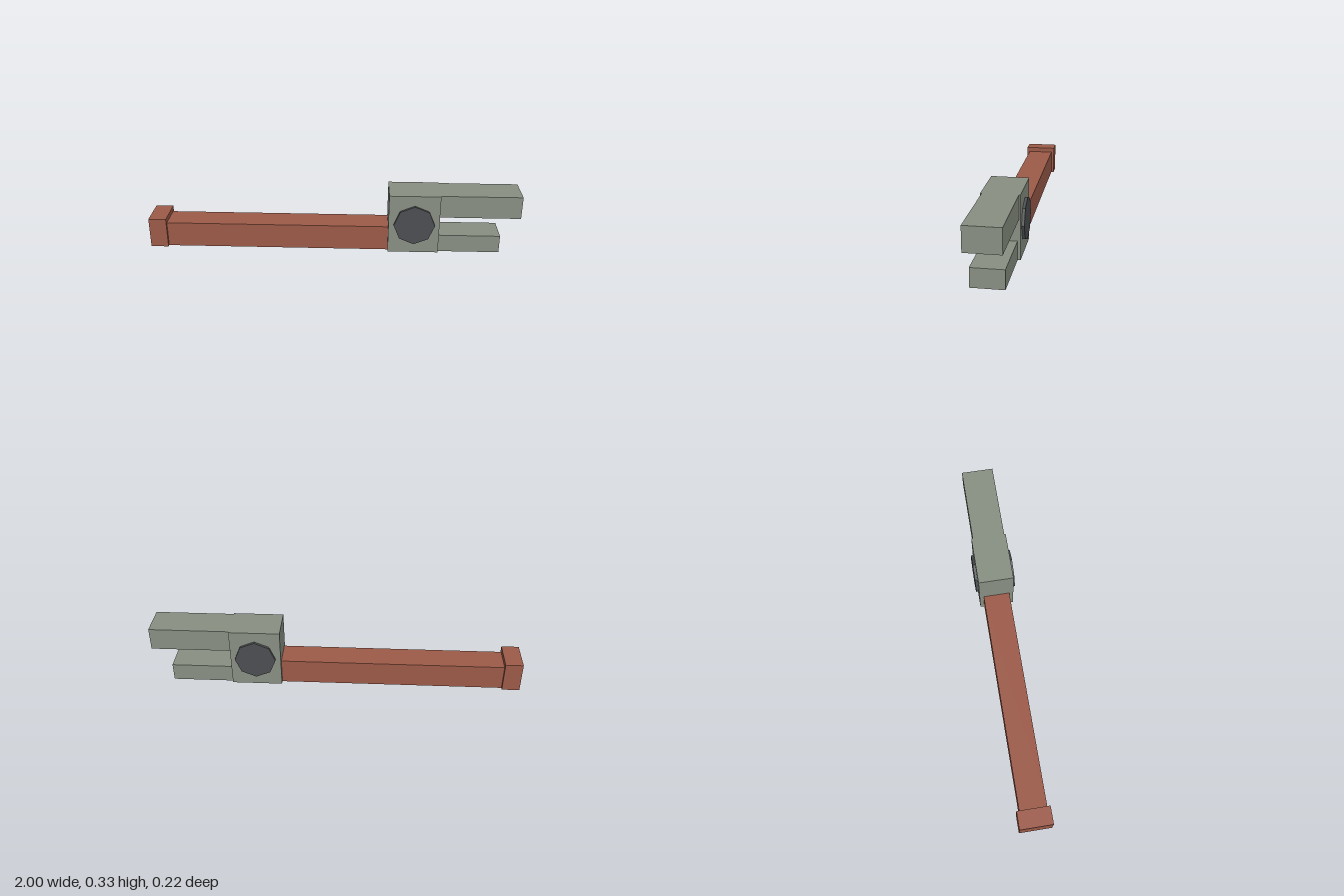
import * as THREE from 'three';

export function createModel() {
  const model = new THREE.Group();
  model.name = 'wrench';

  const makeMaterial = (name, color) => {
    const material = new THREE.MeshStandardMaterial({ color });
    material.name = name;
    return material;
  };
  const red = makeMaterial('rusty red', 0x9c5a48);
  const grey = makeMaterial('grey green steel', 0x888f82);
  const dark = makeMaterial('dark steel', 0x4b4e51);
  dark.flatShading = true;

  // Box spanning x0..x1 and y0..y1, centred on z = 0
  const addBox = (name, material, x0, x1, y0, y1, depth) => {
    const mesh = new THREE.Mesh(new THREE.BoxGeometry(x1 - x0, y1 - y0, depth), material);
    mesh.position.set((x0 + x1) / 2, (y0 + y1) / 2, 0);
    mesh.name = name;
    model.add(mesh);
  };

  // Handle with its end cap
  addBox('handleCap', red, -1, -0.905, 0, 0.165, 0.176);
  addBox('handle', red, -0.905, 0.3, 0, 0.138, 0.146);

  // Head block and the two jaws
  addBox('head', grey, 0.3, 0.572, 0, 0.33, 0.192);
  addBox('upperJaw', grey, 0.572, 1, 0.207, 0.33, 0.176);
  addBox('lowerJaw', grey, 0.572, 0.902, 0, 0.097, 0.162);

  // Octagonal adjusting bolt through the head
  const bolt = new THREE.Mesh(new THREE.CylinderGeometry(0.11, 0.11, 0.22, 8), dark);
  bolt.rotation.x = Math.PI / 2;
  bolt.position.set(0.437, 0.165, 0);
  bolt.name = 'bolt';
  model.add(bolt);

  return model;
}
